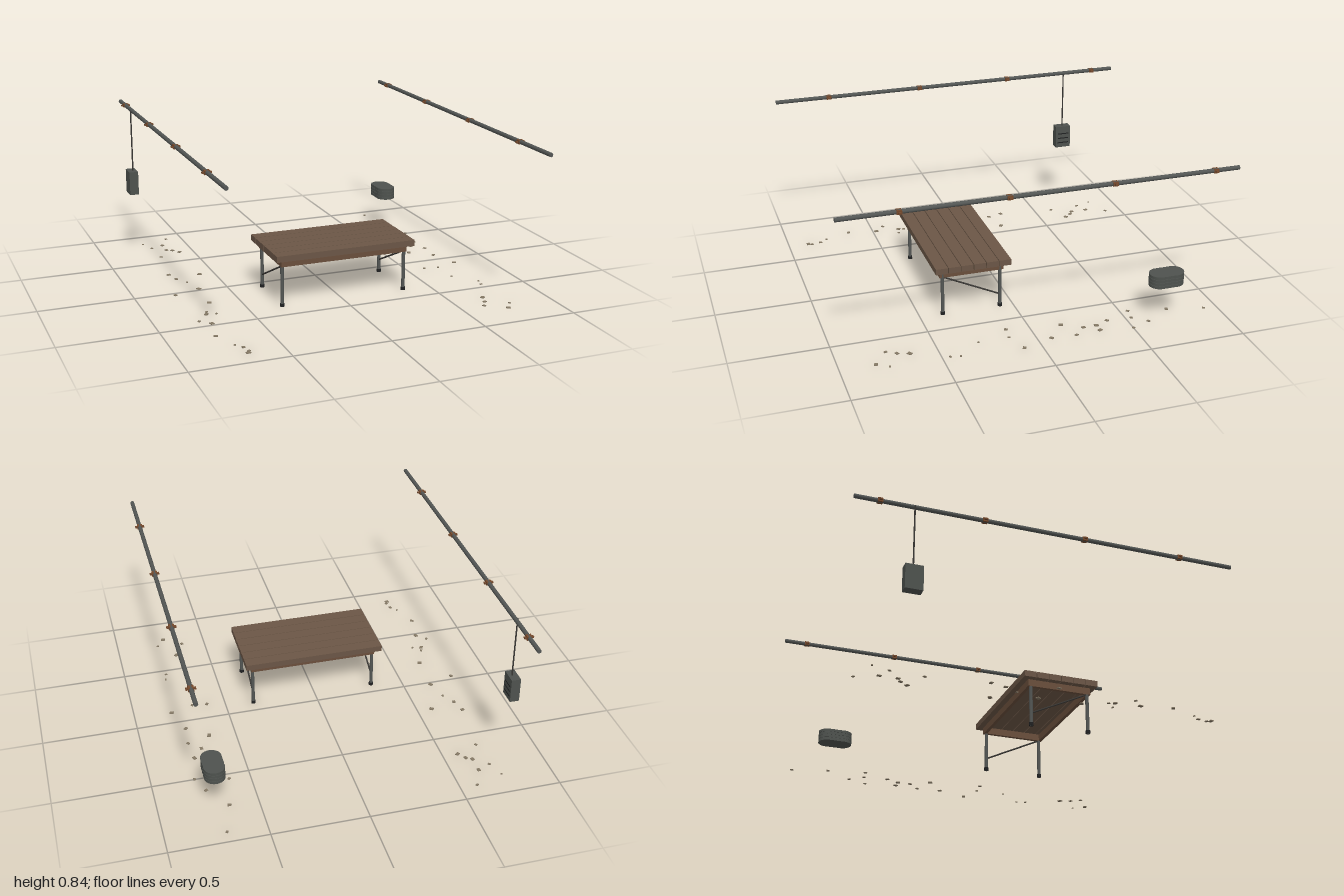
import * as THREE from 'three';

const mat = (name, color) => {
  const m = new THREE.MeshStandardMaterial({ color });
  m.name = name;
  return m;
};

export function createModel() {
  const model = new THREE.Group();
  const wood = mat('plank wood', 0x6b5646);
  const apronWood = mat('apron wood', 0x6a4f3c);
  const steel = mat('pipe steel', 0x535654);
  const casing = mat('casing grey', 0x4e524e);
  const rust = mat('rust', 0x74492c);
  const iron = mat('dark iron', 0x3a3835);
  const dark = mat('dark rubber', 0x202122);
  const stone = mat('stone', 0x857965);

  const add = (parent, name, geometry, material, x, y, z) => {
    const m = new THREE.Mesh(geometry, material);
    m.name = name;
    m.position.set(x, y, z);
    parent.add(m);
    return m;
  };
  const box = (p, name, m, w, h, d, x, y, z) => add(p, name, new THREE.BoxGeometry(w, h, d), m, x, y, z);
  const rod = (p, name, m, r, h, x, y, z, sides = 12) =>
    add(p, name, new THREE.CylinderGeometry(r, r, h, sides), m, x, y, z);
  const group = (name) => {
    const g = new THREE.Group();
    g.name = name;
    model.add(g);
    return g;
  };

  // Overhead pipes with clamps: side cheeks and a thin flange
  for (const x of [-0.805, 0.821]) {
    const pipe = group('overheadPipe');
    rod(pipe, 'pipe', steel, 0.011, 2, x, 0.831, 0).rotation.x = Math.PI / 2;
    for (let i = 0; i < 4; i++) {
      const z = -0.873 + i * 0.526;
      box(pipe, 'clampCheeks', rust, 0.027, 0.02, 0.026, x, 0.831, z);
      box(pipe, 'clampFlange', rust, 0.048, 0.008, 0.014, x, 0.831, z);
    }
  }

  // Table: six close-set slats on an open frame
  const table = group('table');
  for (let i = 0; i < 6; i++) box(table, 'slat', wood, 0.758, 0.032, 0.0635, 0.01, 0.266, 0.054 + i * 0.0673);
  for (const z of [0.062, 0.386]) box(table, 'longApron', apronWood, 0.693, 0.036, 0.018, 0.01, 0.232, z);
  for (const x of [-0.327, 0.347]) box(table, 'endApron', apronWood, 0.018, 0.036, 0.306, x, 0.232, 0.224);

  // Legs, feet and end braces
  for (const x of [-0.327, 0.348]) {
    for (const z of [0.07, 0.379]) {
      rod(table, 'leg', steel, 0.0092, 0.25, x, 0.125, z);
      rod(table, 'foot', dark, 0.012, 0.016, x, 0.008, z);
    }
    const a = new THREE.Vector3(x, 0.213, 0.372);
    const b = new THREE.Vector3(x, 0.07, 0.072);
    const dir = b.clone().sub(a);
    const mid = a.clone().add(b).multiplyScalar(0.5);
    const brace = rod(table, 'brace', iron, 0.0045, dir.length(), mid.x, mid.y, mid.z, 8);
    brace.quaternion.setFromUnitVectors(new THREE.Vector3(0, 1, 0), dir.normalize());
  }

  // Louvred box hanging from a rod
  const hanging = group('hangingBox');
  rod(hanging, 'hangerRod', iron, 0.004, 0.34, -0.818, 0.662, -0.704, 8);
  box(hanging, 'casing', casing, 0.049, 0.13, 0.09, -0.8235, 0.43, -0.705);
  for (let i = 0; i < 3; i++) box(hanging, 'slot', dark, 0.004, 0.006, 0.066, -0.7995, 0.394 + i * 0.028, -0.705);

  // Floating stack of overlapping round plates
  const stack = group('plateStack');
  for (let j = 0; j < 4; j++) {
    const z = -0.737 + j * 0.0263;
    for (let i = 0; i < 4; i++) rod(stack, 'plate', casing, 0.053, 0.0145, 0.7145, 0.1965 + i * 0.0172, z, 24);
    rod(stack, 'spacer', steel, 0.0505, 0.06, 0.7145, 0.222, z, 24);
  }

  // Loose chips on the ground along both sides, as x, z pairs
  const chips = group('groundChips');
  const leftOver = [
    -0.74, -0.86, -0.59, -0.91, -0.64, -0.8, -0.71, -0.77, -0.64, -0.71, -0.61, -0.69, -0.58, -0.65,
    -0.7, -0.6, -0.74, -0.29, -0.72, -0.21, -0.58, -0.24, -0.68, -0.14, -0.65, -0.02, -0.79, 0.03,
    -0.66, 0.2, -0.71, 0.32, -0.72, 0.35, -0.67, 0.36, -0.78, 0.43, -0.73, 0.48, -0.76, 0.64,
    -0.71, 0.78, -0.68, 0.82, -0.67, 0.87, -0.68, 0.89,
  ];
  const rightOver = [
    0.7, -0.93, 0.65, -0.74, 0.74, -0.6, 0.61, -0.54, 0.68, -0.53, 0.78, -0.5, 0.67, -0.4, 0.7, -0.33,
    0.75, -0.33, 0.7, -0.26, 0.76, -0.2, 0.64, -0.16, 0.75, -0.07, 0.6, 0.12, 0.68, 0.13, 0.8, 0.09,
    0.68, 0.29, 0.78, 0.41, 0.77, 0.46, 0.68, 0.64, 0.66, 0.7, 0.63, 0.75, 0.77, 0.76, 0.73, 0.82,
  ];
  let seed = 7;
  const rand = () => (seed = (seed * 16807) % 2147483647) / 2147483647;
  for (const list of [leftOver, rightOver]) {
    for (let i = 0; i < list.length; i += 2) {
      const s = 0.01 + rand() * 0.014;
      const chip = box(chips, 'chip', stone, s, 0.004, s * 0.8, list[i], 0.002, list[i + 1]);
      chip.rotation.y = rand() * Math.PI;
    }
  }
  return model;
}
